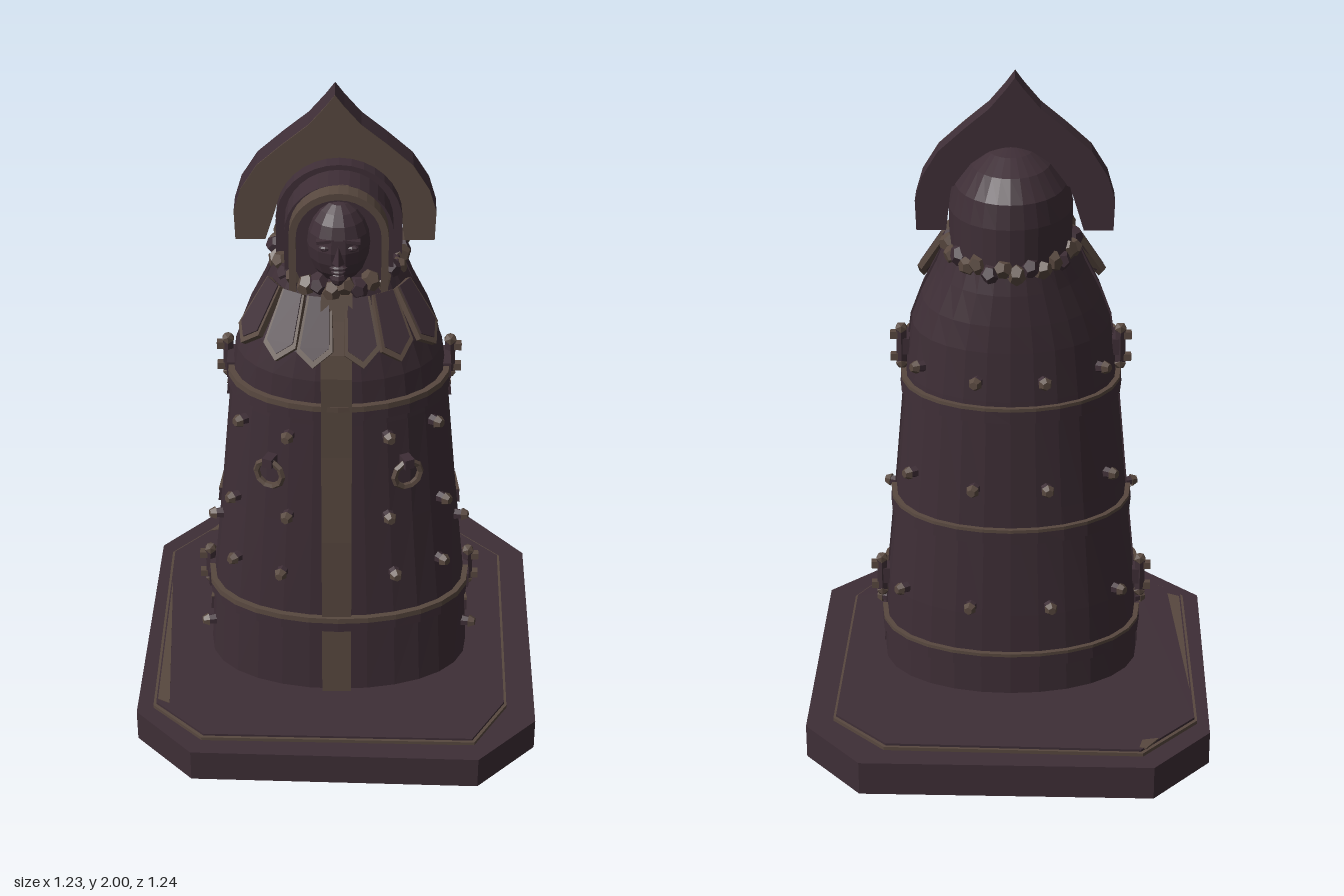
import * as THREE from 'three';

const iron = new THREE.MeshStandardMaterial({ color: 0x3e2e36, flatShading: true });
iron.name = 'dark iron';
const worn = new THREE.MeshStandardMaterial({ color: 0x58483f, flatShading: true });
worn.name = 'worn bronze';

// Body half profiles: height, half width, depth
const FRONT = { z0: 0.07, dir: 1, rings: [[0.13, 0.4, 0.255], [0.4, 0.385, 0.255], [0.75, 0.35, 0.252], [1.1, 0.318, 0.25],
  [1.25, 0.298, 0.25], [1.33, 0.268, 0.238], [1.42, 0.222, 0.2], [1.53, 0.17, 0.17]] };
const BACK = { z0: 0.055, dir: -1, rings: [[0.13, 0.395, 0.305], [0.4, 0.38, 0.31], [0.75, 0.345, 0.31], [1.1, 0.313, 0.31],
  [1.25, 0.293, 0.308], [1.33, 0.263, 0.305], [1.42, 0.218, 0.298], [1.53, 0.175, 0.28]] };

function radii(half, y) {
  const r = half.rings;
  let i = 0;
  while (i < r.length - 2 && y > r[i + 1][0]) i++;
  const t = (y - r[i][0]) / (r[i + 1][0] - r[i][0]);
  return [1, 2].map(k => THREE.MathUtils.lerp(r[i][k], r[i + 1][k], t));
}

function arcPoint(half, rx, rz, a, y) {
  const s = Math.pow(Math.max(0, Math.sin(a)), 0.85);
  return new THREE.Vector3(rx * Math.cos(a), y, half.z0 + half.dir * rz * s);
}

// Closed solid from half-oval rings
function loft(half, rings, seg = 14) {
  const pos = [];
  const tri = (a, b, c) => (half.dir > 0 ? [a, b, c] : [a, c, b]).forEach(p => pos.push(p.x, p.y, p.z));
  const loops = rings.map(([y, rx, rz]) =>
    Array.from({ length: seg + 1 }, (_, i) => arcPoint(half, rx, rz, Math.PI * i / seg, y)));
  for (let j = 0; j < loops.length - 1; j++) {
    for (let i = 0; i <= seg; i++) {
      const n = (i + 1) % (seg + 1), A = loops[j], B = loops[j + 1];
      tri(A[i], B[i], A[n]);
      tri(A[n], B[i], B[n]);
    }
  }
  const lo = loops[0], hi = loops[loops.length - 1];
  for (let i = 1; i < seg; i++) {
    tri(lo[0], lo[i], lo[i + 1]);
    tri(hi[0], hi[i + 1], hi[i]);
  }
  const g = new THREE.BufferGeometry();
  g.setAttribute('position', new THREE.Float32BufferAttribute(pos, 3));
  g.computeVertexNormals();
  return g;
}

function polygon(points) {
  return new THREE.Shape(points.map(([x, y]) => new THREE.Vector2(x, y)));
}
const extrude = (shape, depth) => new THREE.ExtrudeGeometry(shape, { depth, bevelEnabled: false, curveSegments: 8 });

function arch(w, y0, y1, z, depth, inner) {
  const path = (p, r, top) => p.moveTo(-r, y0).lineTo(-r, top - r).absarc(0, top - r, r, Math.PI, 0, true).lineTo(r, y0);
  const s = new THREE.Shape();
  path(s, w, y1);
  if (inner) {
    s.lineTo(inner, y0).lineTo(inner, y1 - w).absarc(0, y1 - w, inner, 0, Math.PI, false).lineTo(-inner, y0);
  }
  return extrude(s, depth).translate(0, 0, z);
}

export function createModel() {
  const model = new THREE.Group();
  const add = (name, geo, mat, parent = model) => {
    const m = new THREE.Mesh(geo, mat);
    m.name = name;
    parent.add(m);
    return m;
  };
  const box = (name, w, h, d, x, y, z, mat, parent) => add(name, new THREE.BoxGeometry(w, h, d).translate(x, y, z), mat, parent);

  // Group lying on the body surface, its +z pointing outward
  const onSurface = (name, half, a, y, off = 0) => {
    const at = (aa, yy) => arcPoint(half, ...radii(half, yy), aa, yy);
    const p = at(a, y);
    const n = at(a + 0.02, y).sub(at(a - 0.02, y)).cross(at(a, y + 0.02).sub(at(a, y - 0.02))).multiplyScalar(-half.dir).normalize();
    const g = new THREE.Group();
    g.name = name;
    g.position.copy(p).addScaledVector(n, off);
    g.lookAt(g.position.clone().add(n));
    model.add(g);
    return g;
  };

  // Plinth: uneven octagonal slab and raised panel
  const slab = (name, pts, y, h, k, mat) =>
    add(name, extrude(polygon(pts.map(([x, z]) => [x * k, -z * k]).reverse()), h).rotateX(-Math.PI / 2).translate(0, y, 0), mat);
  slab('plinth', [[-0.42, -0.62], [0.44, -0.6], [0.61, -0.4], [0.6, 0.44], [0.42, 0.615], [-0.44, 0.59], [-0.615, 0.41], [-0.595, -0.43]], 0, 0.105, 1, iron);
  const panel = [[-0.39, -0.56], [0.37, -0.53], [0.53, -0.37], [0.515, 0.38], [0.41, 0.55], [-0.41, 0.535], [-0.565, 0.39], [-0.56, -0.38]];
  slab('plinthPanelEdge', panel, 0.1, 0.016, 1, worn);
  slab('plinthPanel', panel, 0.1, 0.023, 0.985, iron);
  slab('plinthChip', [[-0.548, -0.22], [-0.515, 0.39], [-0.552, 0.37]], 0.12, 0.005, 1, worn);
  slab('plinthChip', [[-0.4, -0.545], [-0.38, -0.54], [-0.39, -0.5], [-0.44, -0.49]], 0.12, 0.005, 1, worn);

  // Front door and back shell with their bands
  add('frontDoor', loft(FRONT, FRONT.rings), iron);
  add('backShell', loft(BACK, BACK.rings), iron);
  const band = (name, half, y, h, off, mat) =>
    add(name, loft(half, [y - h / 2, y + h / 2].map(v => [v, ...radii(half, v).map(r => r + off)])), mat);
  for (const y of [1.15, 0.39]) {
    band('frontBand', FRONT, y, 0.05, 0.013, iron);
    band('frontBandEdge', FRONT, y + 0.018, 0.018, 0.017, worn);
  }
  for (const y of [1.06, 0.67, 0.25]) {
    band('backBand', BACK, y, 0.045, 0.013, iron);
    band('backBandEdge', BACK, y + 0.02, 0.01, 0.015, worn);
  }

  // Centre strip following the door front
  add('centreStrip', extrude(polygon([[0.26, 0.13], [0.336, 0.13], [0.33, 0.4], [0.338, 0.7], [0.332, 1.0], [0.336, 1.27],
    [0.322, 1.34], [0.287, 1.43], [0.262, 1.5], [0.2, 1.5]]), 0.088).rotateY(-Math.PI / 2).translate(0.039, 0, 0), worn);

  // Studs
  const stud = (half, a, y) => {
    const g = onSurface('stud', half, a, y, 0.012);
    add('studStem', new THREE.CylinderGeometry(0.013, 0.018, 0.03, 6).rotateX(Math.PI / 2), iron, g);
    add('studHead', new THREE.CylinderGeometry(0.012, 0.021, 0.018, 6).rotateX(Math.PI / 2).translate(0, 0, 0.018), worn, g);
  };
  for (const [y, xs] of [[1.06, [0.14, 0.27]], [0.78, [0.145, 0.3]], [0.57, [0.165, 0.3]]]) {
    for (const x of xs) for (const s of [-1, 1]) stud(FRONT, Math.acos(s * x / radii(FRONT, y)[0]), y);
  }
  for (const y of [1.16, 0.82, 0.43]) for (const d of [33, 72, 108, 147]) stud(BACK, d * Math.PI / 180, y);
  for (const s of [0, 1]) for (const y of [0.66, 0.25]) stud(FRONT, Math.abs(s * Math.PI - 0.2), y);

  // Ring handles
  for (const s of [-1, 1]) {
    const g = onSurface('ringHandle', FRONT, Math.acos(s * 0.19 / radii(FRONT, 0.93)[0]), 0.93, 0.015);
    add('ring', new THREE.TorusGeometry(0.042, 0.01, 5, 10).translate(0, -0.005, 0.008), worn, g);
    box('ringMount', 0.03, 0.03, 0.04, 0, 0.037, 0.005, iron, g);
  }

  // Side hinges
  for (const s of [-1, 1]) for (const [y, x] of [[1.16, 0.325], [0.39, 0.4]]) {
    const g = new THREE.Group();
    g.name = 'hinge';
    g.position.set(s * x, y, 0.03);
    model.add(g);
    add('hingeBarrel', new THREE.CylinderGeometry(0.017, 0.017, 0.11, 6), iron, g);
    for (const e of [-1, 1]) {
      add('hingeKnob', new THREE.IcosahedronGeometry(0.02, 0).translate(0, e * 0.055, 0), worn, g);
      box('hingePin', 0.03, 0.022, 0.022, s * 0.018, e * 0.035, 0, worn, g);
    }
    box('hingeLeaf', 0.025, 0.05, 0.1, -s * 0.012, 0, 0.035, iron, g);
  }

  // Collar leaves
  const leaf = k => polygon([[-0.035 * k, 0.1], [0.035 * k, 0.1], [0.052 * k, -0.05 * k], [0, -0.1 * k], [-0.05 * k, -0.06 * k]]);
  for (const d of [28, 54, 76, 104, 126, 152]) {
    const g = onSurface('collarLeaf', FRONT, d * Math.PI / 180, 1.39, 0.01);
    g.rotateX(-0.12);
    add('leafEdge', extrude(leaf(1), 0.018), worn, g);
    add('leafFace', extrude(leaf(0.8), 0.022), iron, g);
  }

  // Lumpy ruff around the neck
  const N = 30;
  for (let i = 0; i < N; i++) {
    const a = i / N * Math.PI * 2, z = Math.sin(a);
    const m = add('ruffFold', new THREE.DodecahedronGeometry(0.034, 0), i % 3 === 0 ? iron : worn);
    m.position.set(0.178 * Math.cos(a), 1.508 + 0.012 * z + (i % 2 ? 0.008 : -0.008), 0.005 + 0.25 * z);
    m.scale.set(0.85, 1, 0.85);
    m.rotation.set(i * 1.3, -a, i * 0.7);
  }

  // Hood: domed back, arched front and worn rim
  const dome = [[1.48, 0.178, 0.27], [1.62, 0.18, 0.272], [1.69, 0.162, 0.262], [1.75, 0.118, 0.21], [1.785, 0.07, 0.13], [1.805, 0.02, 0.04]];
  add('hoodBack', loft({ z0: 0.02, dir: -1 }, dome), iron);
  add('hoodFront', arch(0.178, 1.48, 1.81, 0.02, 0.06), iron);
  add('hoodFrontStep', arch(0.152, 1.48, 1.795, 0.07, 0.1), iron);
  add('hoodRim', arch(0.138, 1.48, 1.795, 0.165, 0.055, 0.118), worn);
  add('hoodLining', arch(0.12, 1.48, 1.777, 0.16, 0.053), iron);

  // Face
  const face = new THREE.Group();
  face.name = 'face';
  model.add(face);
  add('faceMask', new THREE.SphereGeometry(1, 14, 10).scale(0.09, 0.125, 0.092).translate(0, 1.645, 0.2), iron, face);
  add('nose', new THREE.ConeGeometry(0.017, 0.055, 4).scale(1, 1, 1.2).translate(0, 1.645, 0.292), iron, face);
  add('upperLip', new THREE.SphereGeometry(1, 8, 5).scale(0.026, 0.008, 0.014).translate(0, 1.6, 0.284), iron, face);
  add('lowerLip', new THREE.SphereGeometry(1, 8, 5).scale(0.021, 0.008, 0.014).translate(0, 1.585, 0.28), iron, face);
  add('chin', new THREE.SphereGeometry(0.025, 8, 6).translate(0, 1.557, 0.258), iron, face);
  for (const s of [-1, 1]) {
    add('eye', new THREE.SphereGeometry(1, 8, 5).scale(0.019, 0.009, 0.012).translate(s * 0.037, 1.658, 0.276), iron, face);
    add('brow', new THREE.BoxGeometry(0.048, 0.009, 0.02).rotateZ(-s * 0.12).translate(s * 0.036, 1.68, 0.275), iron, face);
  }

  // Pointed crest behind the head
  const half = [[0.19, 1.55], [0.272, 1.55], [0.275, 1.64], [0.255, 1.71], [0.21, 1.785], [0.14, 1.85], [0.07, 1.91], [0.025, 1.965]];
  const outer = [...half, [0, 2], ...half.map(([x, y]) => [-x, y]).reverse()].map(([x, y]) => [x * 1.04 - 0.012, y]);
  const inner = [[-0.17, 1.68], [0, 1.76], [0.17, 1.68]];
  add('crest', extrude(polygon([...outer, ...inner]), 0.083).translate(0, 0, -0.05), iron);
  add('crestFront', extrude(polygon([...outer, ...inner]), 0.004).translate(0, 0, 0.032), worn);
  return model;
}
